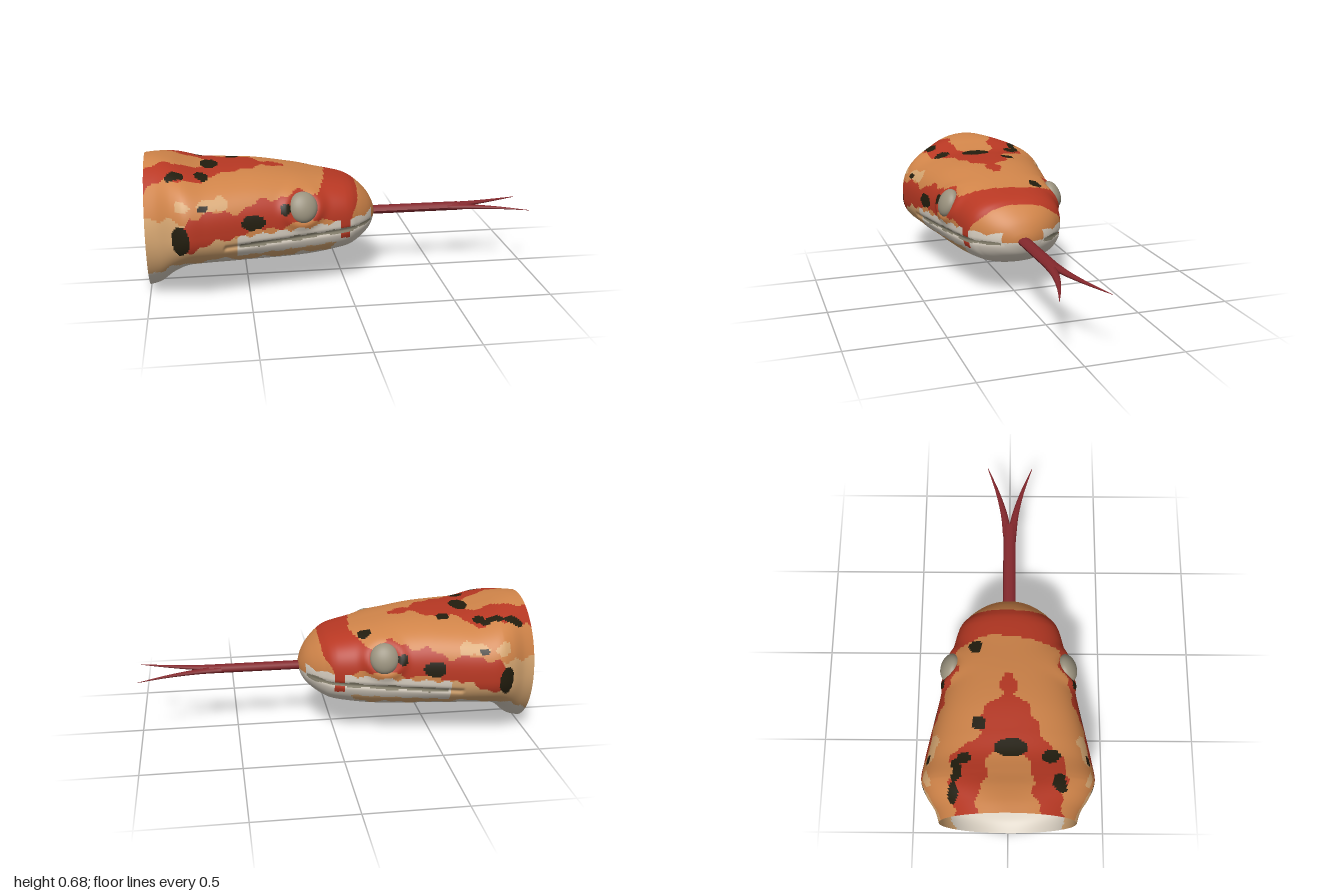
import * as THREE from 'three';

const mat = (name, color, side = THREE.FrontSide) => {
  const m = new THREE.MeshStandardMaterial({ color, side });
  m.name = name;
  return m;
};

// straight-line lookup through [x, value] pairs
function table(x, pairs) {
  if (x <= pairs[0][0]) return pairs[0][1];
  for (let i = 1; i < pairs.length; i++) {
    const [x0, v0] = pairs[i - 1], [x1, v1] = pairs[i];
    if (x <= x1) return v0 + (v1 - v0) * (x - x0) / (x1 - x0);
  }
  return pairs[pairs.length - 1][1];
}

// head stations: x, top y, bottom y, half width
const STATIONS = [
  [-1, 0.68, 0, 0.34], [-0.94, 0.679, 0.025, 0.36], [-0.87, 0.667, 0.09, 0.405], [-0.8, 0.645, 0.132, 0.43],
  [-0.71, 0.623, 0.138, 0.418], [-0.6, 0.62, 0.138, 0.396], [-0.45, 0.615, 0.138, 0.364], [-0.3, 0.595, 0.138, 0.333],
  [-0.15, 0.565, 0.146, 0.3], [0, 0.533, 0.17, 0.262], [0.06, 0.508, 0.19, 0.222], [0.11, 0.467, 0.222, 0.17],
  [0.145, 0.425, 0.255, 0.115], [0.168, 0.375, 0.3, 0.055], [0.176, 0.335, 0.335, 0.001],
];
const mouthY = (x) => 0.315 + 0.035 * x;

// blobs: centre and radii; side ones in x,y and top ones in x,z
const SIDE_BLACK = [[-0.83, 0.35, 0.035, 0.075], [-0.48, 0.41, 0.062, 0.038], [-0.32, 0.457, 0.032, 0.026], [-0.72, 0.5, 0.03, 0.015]];
const TOP_BLACK = [
  [-0.9, -0.255, 0.05, 0.025], [-0.79, -0.25, 0.06, 0.025], [-0.73, -0.21, 0.03, 0.035], [-0.68, 0.01, 0.045, 0.08],
  [-0.72, 0.2, 0.035, 0.045], [-0.85, 0.25, 0.045, 0.035], [-0.56, -0.14, 0.035, 0.035], [-0.15, -0.165, 0.035, 0.035],
];
const inside = (list, u, v) => list.some(([a, b, ru, rv]) => ((u - a) / ru) ** 2 + ((v - b) / rv) ** 2 < 1);

const ORANGE = 0, RED = 1, BLACK = 2, CREAM = 3, TAN = 4, GREY = 5;

// marking colour at a point on the skin
function marking(x, y, z) {
  const az = Math.abs(z), m = mouthY(x);
  const wob = 0.012 * Math.sin(31 * x + 9 * z) + 0.008 * Math.sin(67 * x + 23 * y);
  const scallop = 0.018 * Math.abs(Math.sin(32 * x));
  if (x > -0.55 && x < 0.14 && Math.abs(y - m) < 0.011 + wob * 0.3) return GREY;
  if (y < 0.53 && inside(SIDE_BLACK, x + wob * 0.5, y)) return BLACK;
  if (y > 0.5 && inside(TOP_BLACK, x, z + wob * 0.5)) return BLACK;
  if (Math.abs(x + 0.01) < 0.025 && y > 0.27 && y < 0.4) return RED;

  // lips
  if (x > -0.56 && x < 0.145 && y > m - 0.055 - scallop * 0.5 && y < m + 0.04 + scallop) return CREAM;
  // belly and chin
  if (x > 0.0 && y < m + 0.005) return CREAM;
  const belly = table(x, [[-1, 0.14], [-0.85, 0.2], [-0.6, 0.225], [-0.5, 0.195], [-0.1, 0.205], [0, 0.28]]);
  if (y < belly + wob) return CREAM;

  // cheek band
  const low = table(x, [[-0.83, 0.29], [-0.7, 0.32], [-0.55, 0.365], [-0.3, 0.38], [-0.12, 0.41]]);
  const high = table(x, [[-0.84, 0.4], [-0.78, 0.47], [-0.55, 0.475], [-0.4, 0.51], [-0.28, 0.53], [-0.12, 0.5]]);
  if (x > -0.84 + wob && x < -0.1 && y > low + wob && y < high + wob) return RED;

  // band over the snout
  const back = table(y, [[0.35, -0.03], [0.41, -0.16], [0.5, -0.16], [0.55, -0.09]]);
  const front = table(y, [[0.35, 0.01], [0.45, 0.06], [0.5, 0.068]]);
  if (y > 0.35 && x > back + wob && x < front + wob * 0.4) return RED;

  // crown fork, open toward the neck
  if (y > 0.5 && x < -0.3) {
    const outer = table(x, [[-1, 0.26], [-0.72, 0.28], [-0.64, 0.16], [-0.47, 0.11], [-0.41, 0.03], [-0.3, 0.025]]);
    const open = x < -0.7 + wob && az < table(x, [[-1, 0.15], [-0.85, 0.12], [-0.7, 0.08]]) + wob;
    if (az < outer + wob && !open) return RED;
  }
  if (x < -0.6 && Math.abs(y - 0.51) < 0.018 + wob && x > -0.85) return TAN;
  const tanTop = table(x, [[-1, 0.45], [-0.8, 0.44], [-0.6, 0.37], [-0.5, 0.31]]);
  return y < tanTop + wob ? TAN : ORANGE;
}

// skin lofted through the stations, each cell sorted into its colour
function headGeometry() {
  const rings = 196, sides = 200;
  const topLine = new THREE.SplineCurve(STATIONS.map((s) => new THREE.Vector2(s[0], s[1])));
  const lowLine = new THREE.SplineCurve(STATIONS.map((s) => new THREE.Vector2(s[2], s[3])));
  const pos = [], p = (i, j) => i * sides + (j % sides);
  for (let i = 0; i <= rings; i++) {
    const a = topLine.getPoint(i / rings), b = lowLine.getPoint(i / rings);
    const x = a.x, top = a.y, bottom = b.x, w = Math.max(b.y, 0.001);
    const mid = Math.min(top, Math.max(bottom, table(x, [[-1, 0.34], [-0.8, 0.36], [0, 0.345], [0.176, 0.335]])));
    const nTop = table(x, [[-1, 2], [-0.82, 2.7], [0, 2.6], [0.176, 2.1]]);
    const nLow = table(x, [[-1, 2], [-0.8, 2.2], [0, 2.4], [0.176, 2]]);
    for (let j = 0; j < sides; j++) {
      const t = (j / sides) * Math.PI * 2, c = Math.cos(t), s = Math.sin(t);
      const n = s > 0 ? nTop : nLow;
      const r = (Math.abs(c) ** n + Math.abs(s) ** n) ** (-1 / n);
      const y = mid + r * s * (s > 0 ? top - mid : mid - bottom);
      let z = r * c * w;
      // raised eye rim and mouth groove
      const d = Math.hypot(x + 0.23, y - 0.46);
      z += Math.sign(c) * 0.016 * Math.exp(-((d - 0.085) ** 2) / 0.0009) * (Math.abs(c) > 0.1 ? 1 : 0);
      if (x > -0.62 && x < 0.15) z *= 1 - 0.03 * Math.exp(-((y - mouthY(x)) ** 2) / 0.00015);
      pos.push(x, y, z);
    }
  }
  const cells = [[], [], [], [], [], []];
  for (let i = 0; i < rings; i++) for (let j = 0; j < sides; j++) {
    const q = [p(i, j), p(i + 1, j), p(i + 1, j + 1), p(i, j + 1)];
    const [x, y, z] = [0, 1, 2].map((k) => (pos[q[0] * 3 + k] + pos[q[2] * 3 + k]) / 2);
    cells[marking(x, y, z)].push(q[0], q[1], q[2], q[0], q[2], q[3]);
  }
  const g = new THREE.BufferGeometry();
  g.setAttribute('position', new THREE.Float32BufferAttribute(pos, 3));
  g.setIndex(cells.flat());
  let start = 0;
  cells.forEach((c, k) => { g.addGroup(start, c.length, k); start += c.length; });
  g.computeVertexNormals();
  return g;
}

// tube whose radius follows a rule along its length
function taperedTube(points, radius, rule) {
  const curve = new THREE.CatmullRomCurve3(points.map((q) => new THREE.Vector3(...q)));
  const segs = 16, sides = 10, g = new THREE.TubeGeometry(curve, segs, radius, sides);
  const v = new THREE.Vector3(), a = g.attributes.position;
  for (let k = 0; k < a.count; k++) {
    const t = Math.floor(k / (sides + 1)) / segs, c = curve.getPointAt(t);
    v.fromBufferAttribute(a, k).sub(c).multiplyScalar(rule(t));
    a.setXYZ(k, c.x + v.x, c.y + v.y * 0.65, c.z + v.z);
  }
  g.computeVertexNormals();
  return g;
}

export function createModel() {
  const group = new THREE.Group();
  const add = (name, geometry, material) => {
    const mesh = new THREE.Mesh(geometry, material);
    mesh.name = name;
    group.add(mesh);
    return mesh;
  };
  const D = THREE.DoubleSide;
  const skin = [
    mat('orange', 0xd08449, D), mat('red', 0xb83823, D), mat('black', 0x221d0e, D),
    mat('cream', 0xd8cfc1, D), mat('tan', 0xd6a671, D), mat('mouthGrey', 0x8c8672, D),
  ];
  const eyeMat = mat('eyeGrey', 0x9a927e), tongueMat = mat('tongueRed', 0x85282d, D);

  add('head', headGeometry(), skin);

  // eyes, leaning inward at the top
  for (const side of [1, -1]) {
    const eye = add(side > 0 ? 'leftEye' : 'rightEye', new THREE.SphereGeometry(1, 32, 20), eyeMat);
    eye.scale.set(0.073, 0.078, 0.045);
    eye.position.set(-0.23, 0.457, side * 0.299);
    eye.rotation.set(-side * 0.4, side * 0.15, 0);
  }

  // forked tongue
  add('tongue', taperedTube([[0.1, 0.33, 0], [0.35, 0.33, 0], [0.64, 0.33, 0]], 0.034, () => 1), tongueMat);
  for (const side of [1, -1]) {
    const path = [[0.58, 0.33, side * 0.012], [0.7, 0.33, side * 0.03], [0.85, 0.329, side * 0.07], [1, 0.326, side * 0.125]];
    add(side > 0 ? 'leftTongueTip' : 'rightTongueTip', taperedTube(path, 0.026, (t) => 1 - 0.95 * t), tongueMat);
  }
  return group;
}
